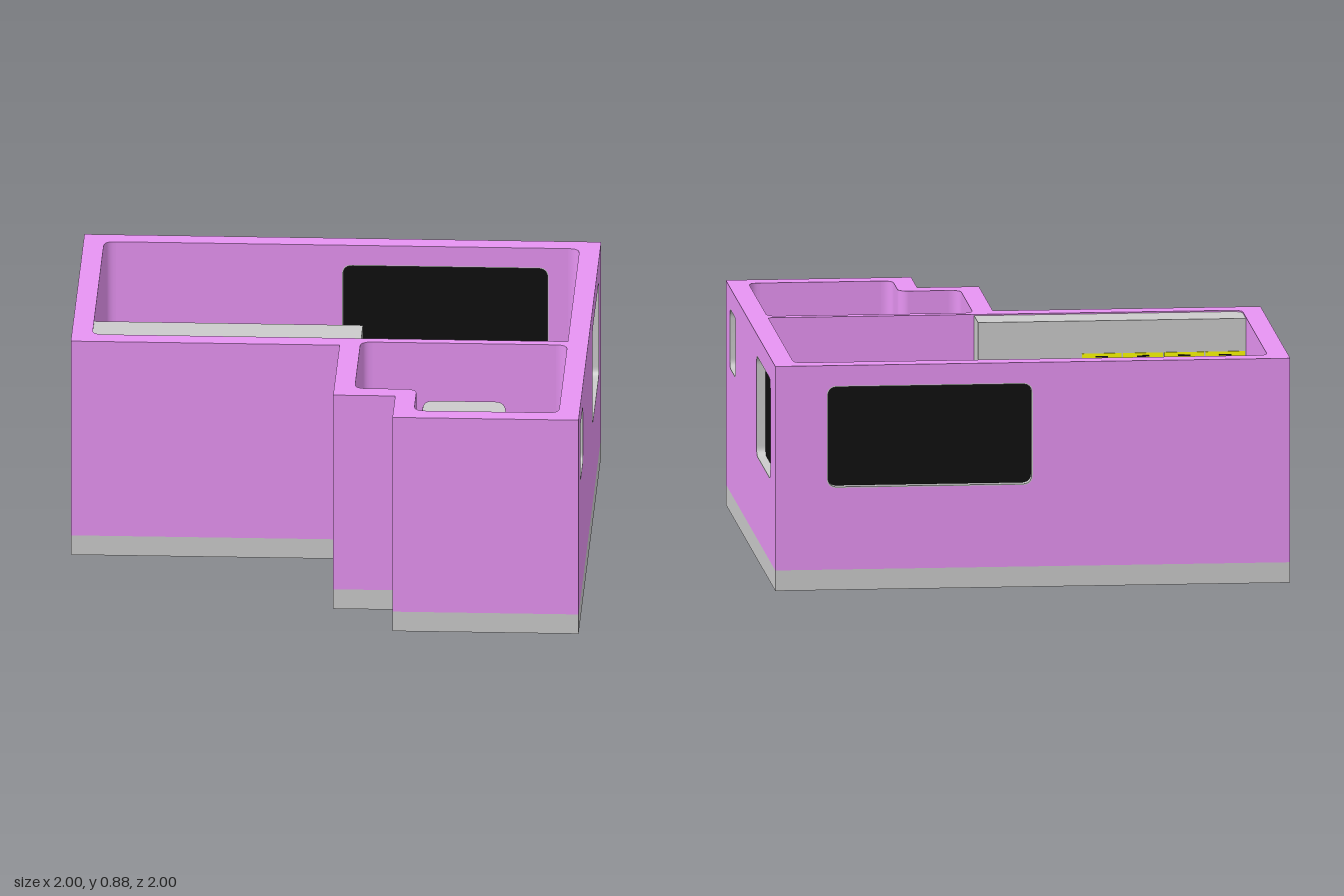
import * as THREE from 'three';
import { toCreasedNormals } from 'three/addons/utils/BufferGeometryUtils.js';

const mat = (color) => new THREE.MeshStandardMaterial({ color, side: THREE.DoubleSide });
const FLOOR = 0.08, TOP = 0.88;

export function createModel() {
  const root = new THREE.Group();
  const grey = mat(0xcccccc), pink = mat(0xe794f3), black = mat(0x0e0e0e);
  const yellow = mat(0xffff00), cyan = mat(0x00ffff), tan = mat(0xf0cfa2);

  const add = (name, geo, m = grey) => {
    const mesh = new THREE.Mesh(geo, m);
    mesh.name = name;
    root.add(mesh);
    return mesh;
  };
  const box = (name, x0, x1, y0, y1, z0, z1, m) =>
    add(name, new THREE.BoxGeometry(x1 - x0, y1 - y0, z1 - z0), m)
      .position.set((x0 + x1) / 2, (y0 + y1) / 2, (z0 + z1) / 2);

  // Polygon whose corners [x, y, radius] may be rounded
  const outline = (pts, Type = THREE.Shape) => {
    const s = new Type(), n = pts.length;
    pts.forEach(([x, y, r = 0], i) => {
      const toward = ([px, py]) => {
        const d = Math.hypot(px - x, py - y);
        return [x + (px - x) * r / d, y + (py - y) * r / d];
      };
      const a = toward(pts[(i + n - 1) % n]), b = toward(pts[(i + 1) % n]);
      i ? s.lineTo(...a) : s.moveTo(...a);
      if (r) s.quadraticCurveTo(x, y, ...b);
    });
    s.closePath();
    return s;
  };
  const extrude = (shape, depth) => toCreasedNormals(
    new THREE.ExtrudeGeometry(shape, { depth, bevelEnabled: false, curveSegments: 8 }), 0.6);

  // Floor-plan outline of [x, z, radius] raised from y0 to y1
  const plan = (name, pts, y0, y1, m, hole) => {
    const flip = (p) => p.map(([x, z, r]) => [x, -z, r]);
    const s = outline(flip(pts));
    if (hole) s.holes.push(outline(flip(hole), THREE.Path));
    return add(name, extrude(s, y1 - y0).rotateX(-Math.PI / 2).translate(0, y0, 0), m);
  };
  const rect = (x0, x1, y0, y1, r = 0) => [[x0, y0, r], [x1, y0, r], [x1, y1, r], [x0, y1, r]];

  // Upright panel along x or z, with rounded windows and an optional doorway
  const upright = (geo, axis, t0, t1) => axis === 'x'
    ? geo.translate(0, 0, t0) : geo.rotateY(-Math.PI / 2).translate(t1, 0, 0);
  const wall = (name, axis, a0, a1, t0, t1, { windows = [], door } = {}) => {
    const pts = [[a0, FLOOR]];
    if (door) pts.push([door[0], FLOOR], [door[0], 0.64, 0.04], [door[1], 0.64, 0.04], [door[1], FLOOR]);
    pts.push([a1, FLOOR], [a1, TOP], [a0, TOP]);
    const s = outline(pts);
    for (const [w0, w1, y0, y1] of windows) {
      s.holes.push(outline(rect(w0, w1, y0, y1, 0.04), THREE.Path));
      const frame = outline(rect(w0, w1, y0, y1, 0.04)), e = 0.004;
      frame.holes.push(outline(rect(w0 + e, w1 - e, y0 + e, y1 - e, 0.038), THREE.Path));
      add('windowFrame', upright(extrude(frame, t1 - t0), axis, t0, t1));
      const mid = (t0 + t1) / 2;
      const pane = extrude(outline(rect(w0, w1, y0, y1, 0.04)), 0.01);
      add('windowGlass', upright(pane, axis, mid - 0.005, mid + 0.005), black);
    }
    add(name, upright(extrude(s, t1 - t0), axis, t0, t1), pink);
  };

  // Floor slab
  plan('floorSlab', [[-1, -1], [1, -1], [1, 1], [0.28, 1], [0.28, 0.76], [0.04, 0.76], [0.04, 0.2], [-1, 0.2]], 0, FLOOR);

  // Walls
  wall('backWall', 'x', -1, 1, -1, -0.92, { windows: [[0, 0.8, 0.4, 0.8]] });
  wall('rightSideWall', 'z', -0.92, 1, 0.92, 1, { windows: [[-0.8, -0.24, 0.4, 0.8], [0.6, 0.84, 0.56, 0.8]] });
  wall('entryWall', 'z', -0.92, 0.2, -1, -0.92, { door: [-0.4, -0.08] });
  wall('kitchenWall', 'x', -0.92, 0.04, 0.12, 0.2);
  wall('bathroomSideWall', 'z', 0.12, 0.76, 0.04, 0.12);
  wall('partitionWall', 'x', 0.12, 0.92, 0.12, 0.16, { door: [0.36, 0.68] });
  wall('notchWall', 'x', 0.12, 0.32, 0.68, 0.76);
  wall('notchSideWall', 'z', 0.72, 1, 0.28, 0.36);
  wall('bathroomFrontWall', 'x', 0.36, 0.92, 0.92, 1);
  add('notchRoundCorner', new THREE.CylinderGeometry(0.04, 0.04, TOP - FLOOR, 32), pink)
    .position.set(0.32, (TOP + FLOOR) / 2, 0.72);

  // Rounded inner corners: corner position and direction into the room
  for (const [x, z, sx, sz] of [
    [-0.92, -0.92, 1, 1], [0.92, -0.92, -1, 1], [-0.92, 0.12, 1, -1],
    [0.12, 0.16, 1, 1], [0.92, 0.16, -1, 1], [0.12, 0.68, 1, -1],
    [0.36, 0.92, 1, -1], [0.92, 0.92, -1, -1]]) {
    const r = 0.045, s = new THREE.Shape();
    s.moveTo(x, -z);
    s.lineTo(x + sx * r, -z);
    s.quadraticCurveTo(x, -z, x, -(z + sz * r));
    s.closePath();
    add('cornerFillet', extrude(s, TOP - FLOOR).rotateX(-Math.PI / 2).translate(0, FLOOR, 0), pink);
  }

  // Grid of yellow fronts with dark handles, on a face along x or z
  const fronts = (name, axis, a0, a1, y0, y1, cols, rows, face, dir) => {
    const w = (a1 - a0) / cols, h = (y1 - y0) / rows, g = 0.003;
    const piece = (n, p0, p1, q0, q1, d0, d1, m) => {
      const f0 = face + Math.min(dir * d0, dir * d1), f1 = face + Math.max(dir * d0, dir * d1);
      axis === 'x' ? box(n, p0, p1, q0, q1, f0, f1, m) : box(n, f0, f1, q0, q1, p0, p1, m);
    };
    for (let i = 0; i < cols; i++) for (let j = 0; j < rows; j++) {
      const a = a0 + i * w, y = y0 + j * h;
      piece(name, a + g, a + w - g, y + g, y + h - g, 0, 0.004, yellow);
      piece('handle', a + w * 0.35, a + w * 0.65, y + h * 0.8, y + h * 0.86, 0.004, 0.008, black);
    }
  };

  // Kitchen run on the front wall
  plan('kitchenCounter', [[-0.92, -0.04], [0.36, -0.04, 0.04], [0.36, 0.12], [-0.92, 0.12]], FLOOR, 0.4);
  fronts('kitchenDrawer', 'x', -0.92, -0.04, 0.1, 0.36, 4, 3, -0.04, -1);
  box('upperCabinet', -0.92, 0.12, 0.56, 0.875, -0.04, 0.12);
  fronts('upperCabinetDoor', 'x', -0.92, -0.28, 0.57, 0.75, 4, 2, -0.04, -1);

  // L-shaped counter in the back corner, ending in a curved edge
  plan('cornerCounter', [[-0.92, -0.92], [-0.2, -0.92], [-0.2, -0.76], [-0.76, -0.76, 0.04], [-0.76, -0.62], [-0.92, -0.62]], FLOOR, 0.3);
  const lip = new THREE.CylinderGeometry(0.02, 0.02, 0.16, 24).rotateZ(Math.PI / 2);
  add('counterRoundEdge', lip.translate(-0.84, 0.28, -0.62));

  // Entry bench
  box('benchBack', -0.92, -0.76, FLOOR, 0.26, -0.6, -0.57);
  plan('entryBench', [[-0.92, -0.57], [-0.76, -0.57], [-0.76, -0.4, 0.03], [-0.92, -0.4]], FLOOR, 0.18, tan);
  plan('benchCushion', [[-0.88, -0.53, 0.04], [-0.76, -0.53, 0.04], [-0.76, -0.4, 0.03], [-0.88, -0.4]], 0.18, 0.195, tan);

  // Peninsula cabinet dividing kitchen and living area
  plan('peninsula', [[-0.2, -0.92], [-0.04, -0.92], [-0.04, -0.36, 0.04], [-0.2, -0.36, 0.04]], FLOOR, 0.33);
  fronts('peninsulaDoor', 'z', -0.74, -0.4, 0.1, 0.3, 2, 3, -0.04, 1);

  // Bench along the back with a projecting table, and its back rests
  plan('backBenchAndTable', [[-0.04, -0.88], [0.88, -0.88], [0.88, -0.76], [0.68, -0.76, 0.04], [0.68, -0.33, 0.02],
    [0.36, -0.33, 0.02], [0.36, -0.76, 0.04], [-0.04, -0.76]], FLOOR, 0.26);
  box('backLedge', -0.04, 0.92, FLOOR, 0.31, -0.92, -0.88);
  plan('benchTray', [[0, -0.84, 0.03], [0.32, -0.84, 0.03], [0.32, -0.76], [0, -0.76]], 0.26, 0.285, grey,
    [[0.01, -0.83, 0.025], [0.31, -0.83, 0.025], [0.31, -0.77], [0.01, -0.77]]);
  box('sideBackRest', 0.88, 0.92, FLOOR, 0.32, -0.88, 0.12, cyan);
  box('frontBackRest', 0.68, 0.88, FLOOR, 0.32, 0.08, 0.12, cyan);
  plan('cornerSeat', [[0.88, -0.2], [0.76, -0.2, 0.04], [0.76, 0, 0.06], [0.68, 0, 0.05], [0.68, 0.08], [0.88, 0.08]], FLOOR, 0.22);

  // Bathroom: raised strip, washbasin and mirror cabinet
  box('washPlatform', 0.12, 0.28, FLOOR, 0.095, 0.16, 0.68);
  plan('washbasin', [[0.12, 0.28], [0.26, 0.28, 0.03], [0.26, 0.52, 0.03], [0.12, 0.52]], 0.32, 0.37, grey, rect(0.165, 0.24, 0.32, 0.48, 0.01));
  box('basinBottom', 0.16, 0.245, 0.32, 0.33, 0.31, 0.49);
  box('basinStand', 0.12, 0.22, 0.095, 0.32, 0.34, 0.46);
  box('mirrorCabinet', 0.12, 0.16, 0.37, 0.65, 0.28, 0.52);

  // Corner cabinet beside the door, with a small shelf
  plan('cornerCabinet', [[0.68, 0.16], [0.92, 0.16], [0.92, 0.4], [0.8, 0.4], [0.8, 0.28, 0.08], [0.68, 0.28, 0.05]], FLOOR, 0.3);
  box('cabinetEndPanel', 0.81, 0.92, FLOOR, 0.32, 0.4, 0.412);

  // Toilet
  plan('toiletBowl', [[0.9, 0.475], [0.78, 0.475, 0.045], [0.78, 0.565, 0.045], [0.9, 0.565]], 0.17, 0.22);
  box('toiletBase', 0.82, 0.9, FLOOR, 0.17, 0.49, 0.55);
  box('toiletTank', 0.88, 0.92, FLOOR, 0.3, 0.475, 0.565);

  // Shower grab rail with a post at each end
  const path = new THREE.CurvePath(), Y = 0.33;
  const v = ([x, z]) => new THREE.Vector3(x, Y, z);
  const bend = (a, b, c) => path.add(new THREE.QuadraticBezierCurve3(v(a), v(b), v(c)));
  const run = (a, b) => path.add(new THREE.LineCurve3(v(a), v(b)));
  run([0.28, 0.64], [0.36, 0.64]);
  bend([0.36, 0.64], [0.4, 0.64], [0.4, 0.69]);
  run([0.4, 0.69], [0.4, 0.86]);
  bend([0.4, 0.86], [0.4, 0.9], [0.44, 0.9]);
  run([0.44, 0.9], [0.9, 0.9]);
  run([0.9, 0.9], [0.9, 0.635]);
  run([0.9, 0.635], [0.78, 0.635]);
  add('grabRail', new THREE.TubeGeometry(path, 160, 0.006, 8));
  for (const [x, z] of [[0.28, 0.64], [0.78, 0.635]])
    add('railPost', new THREE.CylinderGeometry(0.006, 0.006, Y - FLOOR, 12)).position.set(x, (Y + FLOOR) / 2, z);

  // Shower column
  box('showerHead', 0.64, 0.77, 0.5, 0.508, 0.78, 0.89);
  add('showerPipe', new THREE.CylinderGeometry(0.006, 0.006, 0.3, 12)).position.set(0.705, 0.37, 0.905);
  box('showerArm', 0.7, 0.71, 0.508, 0.518, 0.83, 0.92);
  box('showerMixer', 0.68, 0.73, 0.24, 0.26, 0.89, 0.92);
  add('showerKnob', new THREE.CylinderGeometry(0.012, 0.012, 0.012, 16)).position.set(0.705, 0.522, 0.83);

  return root;
}
